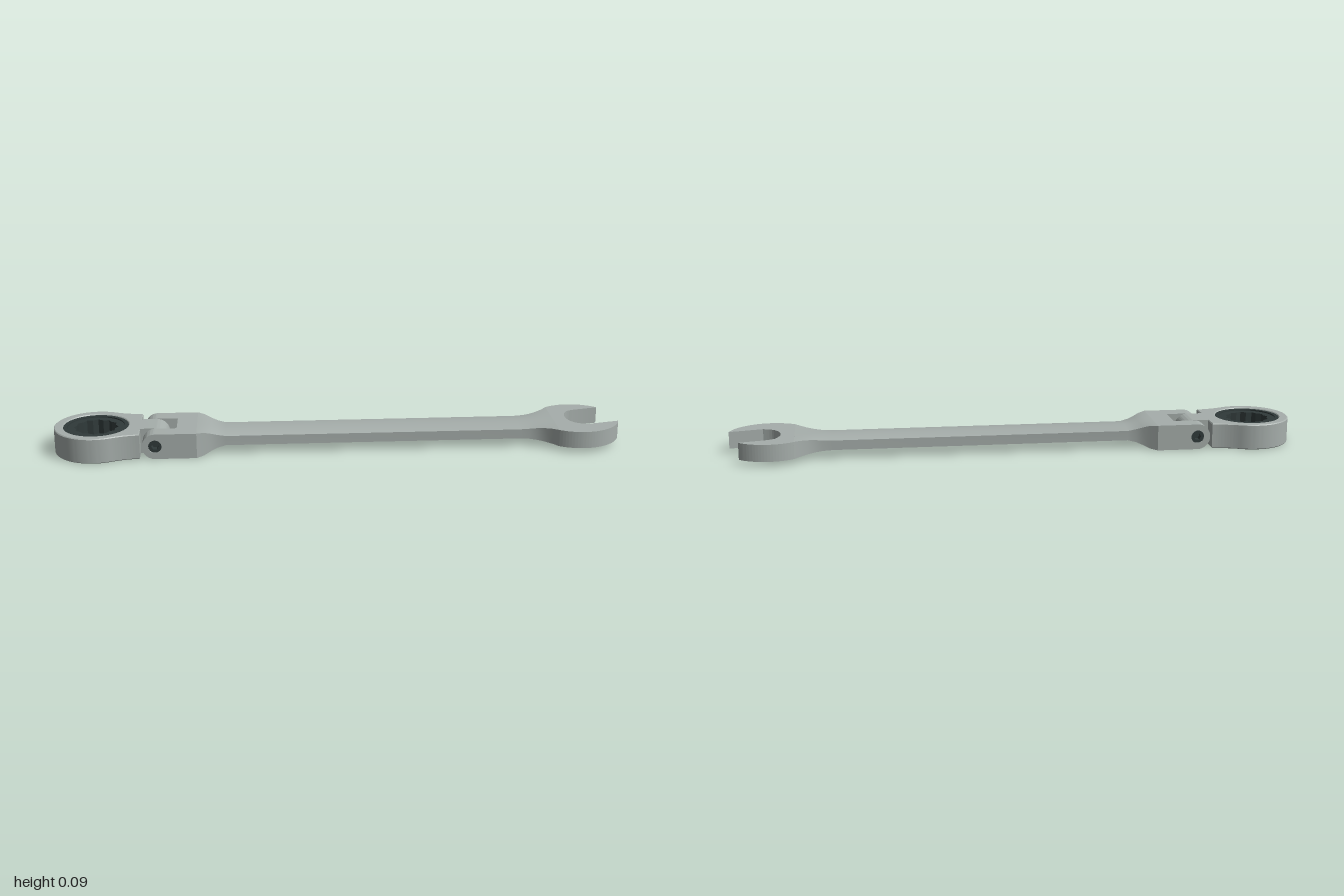
import * as THREE from 'three';
import { toCreasedNormals } from 'three/addons/utils/BufferGeometryUtils.js';

const steel = new THREE.MeshStandardMaterial({ color: 0xa6aeab });
const dark = new THREE.MeshStandardMaterial({ color: 0x303a3a });

function add(parent, name, geometry, material = steel) {
  const mesh = new THREE.Mesh(toCreasedNormals(geometry, 0.5), material);
  mesh.name = name;
  parent.add(mesh);
  return mesh;
}

function extrude(shape, depth, bevel = 0) {
  return new THREE.ExtrudeGeometry(shape, {
    depth: depth - 2 * bevel, curveSegments: 40, bevelEnabled: bevel > 0,
    bevelSize: bevel, bevelThickness: bevel, bevelOffset: -bevel, bevelSegments: 1,
  }).translate(0, 0, bevel);
}

// Plan outline (x, -z) extruded upwards from y0 to y1
const slab = (shape, y0, y1, bevel) =>
  extrude(shape, y1 - y0, bevel).rotateX(-Math.PI / 2).translate(0, y0, 0);

function circlePath(x, y, r) {
  const path = new THREE.Path();
  path.absarc(x, y, r, 0, Math.PI * 2, true);
  return path;
}

function disc(x, y, r) {
  const shape = new THREE.Shape();
  shape.absarc(x, y, r, 0, Math.PI * 2, false);
  return shape;
}

function starPath(x, y, n, rOuter, rInner) {
  const points = [];
  for (let i = 0; i < n; i++) {
    const a = (-i / n) * Math.PI * 2, r = i % 2 ? rInner : rOuter;
    points.push(new THREE.Vector2(x + r * Math.cos(a), y + r * Math.sin(a)));
  }
  return new THREE.Path(points);
}

// Side profile: straight start at x0, rounded end about the hinge
function hingeProfile(x0, rounded) {
  const s = new THREE.Shape(), { x, y, r } = HINGE;
  if (rounded === 'right') {
    s.moveTo(x0, 0);
    s.lineTo(x, 0);
    s.absarc(x, y, r, -Math.PI / 2, Math.PI / 2, false);
    s.lineTo(x0, 2 * r);
  } else {
    s.moveTo(x0, 2 * r);
    s.lineTo(x, 2 * r);
    s.absarc(x, y, r, Math.PI / 2, Math.PI * 1.5, false);
    s.lineTo(x0, 0);
  }
  s.closePath();
  return s;
}
const HINGE = { x: -0.644, y: 0.045, r: 0.045 };

// Loft along x; station = [x, half width, bottom, lower edge, upper edge, top]
function loft(stations) {
  const n = 12, ring = 2 * (n + 1), pos = [], idx = [];
  for (const [x, w, y0, e0, e1, y1] of stations) {
    for (let i = 0; i <= n; i++) {
      const s = 1 - (2 * i) / n;
      pos.push(x, e1 + (y1 - e1) * (1 - s * s), w * s);
    }
    for (let i = 0; i <= n; i++) {
      const s = -1 + (2 * i) / n;
      pos.push(x, e0 + (y0 - e0) * (1 - s * s), w * s);
    }
  }
  for (let j = 0; j < stations.length - 1; j++) {
    for (let i = 0; i < ring; i++) {
      const a = j * ring + i, b = j * ring + ((i + 1) % ring);
      idx.push(a, a + ring, b, b, a + ring, b + ring);
    }
  }
  const g = new THREE.BufferGeometry();
  g.setAttribute('position', new THREE.Float32BufferAttribute(pos, 3));
  g.setIndex(idx);
  return g;
}

export function createModel() {
  const model = new THREE.Group();
  model.name = 'flexHeadWrench';

  // Crowned handle flaring into the fork and the open jaw
  add(model, 'handle', loft([
    [-0.5, 0.113, 0, 0, 0.09, 0.09],
    [-0.475, 0.098, 0.003, 0.004, 0.087, 0.088],
    [-0.45, 0.084, 0.011, 0.015, 0.078, 0.082],
    [-0.43, 0.077, 0.017, 0.023, 0.071, 0.076],
    [-0.4, 0.072, 0.022, 0.03, 0.064, 0.072],
    [0.64, 0.072, 0.022, 0.03, 0.064, 0.072],
    [0.675, 0.073, 0.021, 0.028, 0.066, 0.073],
    [0.7, 0.077, 0.02, 0.025, 0.069, 0.074],
    [0.725, 0.087, 0.019, 0.022, 0.072, 0.075],
    [0.75, 0.104, 0.018, 0.019, 0.075, 0.076],
    [0.77, 0.1236, 0.017, 0.017, 0.077, 0.077],
  ]));

  // Open jaw, its mouth tilted about fifteen degrees
  const jaw = new THREE.Shape();
  jaw.absarc(0.855, 0, 0.15, -2.174, -0.27, false);
  jaw.lineTo(0.882, -0.067);
  jaw.splineThru([[0.845, -0.051], [0.823, -0.019], [0.818, 0.024], [0.834, 0.07], [0.866, 0.088]]
    .map(([x, y]) => new THREE.Vector2(x, y)));
  jaw.absarc(0.855, 0, 0.15, 0.823, 2.174, false);
  jaw.closePath();
  add(model, 'openJaw', slab(jaw, 0.017, 0.077));

  // Fork: solid base and two rounded cheeks drilled for the pin
  const fork = new THREE.Group();
  fork.name = 'fork';
  model.add(fork);
  add(fork, 'forkBase', new THREE.BoxGeometry(0.07, 0.09, 0.226).translate(-0.535, 0.045, 0));
  const cheek = hingeProfile(-0.57, 'left');
  cheek.holes.push(circlePath(HINGE.x, HINGE.y, 0.023));
  add(fork, 'leftCheek', extrude(cheek, 0.061).translate(0, 0, 0.052));
  add(fork, 'rightCheek', extrude(cheek, 0.061).translate(0, 0, -0.113));

  // Hinge pin with a hexagonal socket in each end
  const pin = new THREE.Group();
  pin.name = 'hingePin';
  model.add(pin);
  const pinEnd = disc(HINGE.x, HINGE.y, 0.023);
  pinEnd.holes.push(starPath(HINGE.x, HINGE.y, 6, 0.013, 0.013));
  for (const z of [0.078, -0.108]) add(pin, 'pinEnd', extrude(pinEnd, 0.03).translate(0, 0, z), dark);
  add(pin, 'pinCore', extrude(disc(HINGE.x, HINGE.y, 0.022), 0.17).translate(0, 0, -0.085), dark);

  // Ring head with its hinge tongue
  const cx = -0.854;
  const head = new THREE.Shape();
  head.absarc(cx, 0, 0.146, 1.117, Math.PI * 2 - 1.117, false);
  head.quadraticCurveTo(-0.745, -0.112, -0.697, -0.11);
  head.lineTo(-0.697, 0.11);
  head.quadraticCurveTo(-0.745, 0.112, cx + 0.146 * Math.cos(1.117), 0.146 * Math.sin(1.117));
  head.holes.push(circlePath(cx, 0, 0.114));
  add(model, 'ringHead', slab(head, 0, 0.09, 0.003));
  add(model, 'tongue', extrude(hingeProfile(-0.7, 'right'), 0.1).translate(0, 0, -0.05));

  // Ratchet: retaining ring around a twelve-point socket
  const retainer = disc(cx, 0, 0.115);
  retainer.holes.push(circlePath(cx, 0, 0.1));
  add(model, 'retainingRing', slab(retainer, 0.003, 0.087), dark);
  const socket = disc(cx, 0, 0.101);
  socket.holes.push(starPath(cx, 0, 24, 0.078, 0.07));
  add(model, 'ratchetSocket', slab(socket, 0.007, 0.083), dark);

  return model;
}
